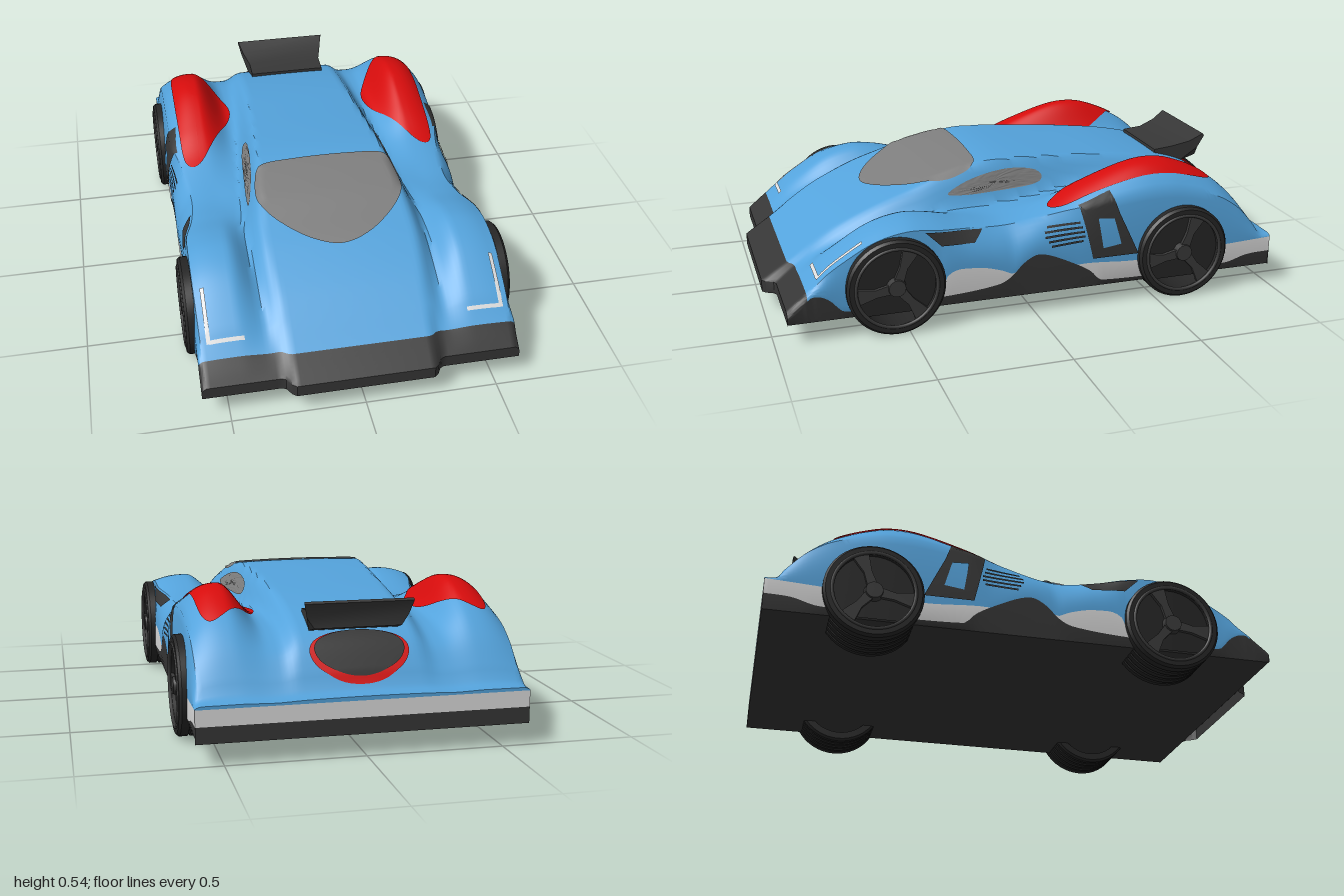
import * as THREE from 'three';
import { toCreasedNormals } from 'three/addons/utils/BufferGeometryUtils.js';

const mat = (name, color) => new THREE.MeshStandardMaterial({ name, color, side: THREE.DoubleSide });
const blue = mat('body blue', 0x54a3dc), black = mat('trim black', 0x363636), white = mat('stripe white', 0xdcdcdc);
const glass = mat('glass grey', 0x7e7e7e), red = mat('accent red', 0xd60c0c);
const rubber = mat('tyre rubber', 0x262626), rimMat = mat('rim grey', 0x3a3a3a);

const clamp01 = (t) => Math.min(1, Math.max(0, t));
const smooth = (a, b, t) => { t = clamp01((t - a) / (b - a)); return t * t * (3 - 2 * t); };
const softMax = (a, b) => 0.5 * (a + b + Math.hypot(a - b, 0.014));

// Smooth profile through [z, value] pairs, listed from front to back
function profile(p) {
  const slope = (i) => {
    const a = p[Math.max(0, i - 1)], b = p[Math.min(p.length - 1, i + 1)];
    return (b[1] - a[1]) / (b[0] - a[0]);
  };
  return (z) => {
    let i = 0;
    while (i < p.length - 2 && z < p[i + 1][0]) i++;
    const h = p[i + 1][0] - p[i][0], t = clamp01((z - p[i][0]) / h), u = 1 - t;
    return p[i][1] * u * u * (1 + 2 * t) + p[i + 1][1] * t * t * (3 - 2 * t)
      + h * t * u * (slope(i) * u - slope(i + 1) * t);
  };
}

const centreLine = profile([[1, 0.12], [0.96, 0.15], [0.9, 0.19], [0.8, 0.265], [0.7, 0.33], [0.55, 0.4], [0.42, 0.445],
  [0.3, 0.485], [0.13, 0.522], [0, 0.528], [-0.3, 0.508], [-0.5, 0.488], [-0.68, 0.455], [-0.8, 0.415],
  [-0.87, 0.365], [-0.93, 0.28], [-0.955, 0.228], [-1, 0.21]]);
const fenderLine = profile([[1, 0.12], [0.96, 0.15], [0.9, 0.19], [0.83, 0.24], [0.75, 0.3], [0.62, 0.38], [0.5, 0.412],
  [0.4, 0.405], [0.25, 0.37], [0.1, 0.355], [-0.1, 0.4], [-0.25, 0.465], [-0.4, 0.517], [-0.5, 0.533], [-0.6, 0.52],
  [-0.75, 0.455], [-0.85, 0.375], [-0.93, 0.27], [-0.955, 0.228], [-1, 0.21]]);
const valleyLine = profile([[1, 0.12], [0.96, 0.145], [0.9, 0.18], [0.7, 0.27], [0.5, 0.325], [0.3, 0.355], [0, 0.365],
  [-0.4, 0.41], [-0.7, 0.4], [-0.85, 0.345], [-0.93, 0.26], [-0.955, 0.22], [-1, 0.205]]);
const cabinWidth = profile([[1, 1], [0.8, 1.03], [0.5, 1.12], [0.1, 1], [-0.4, 0.87], [-0.8, 0.82], [-1, 0.9]]);
const fenderDrop = profile([[1, 0], [0.8, 0.01], [0.5, 0.025], [0.1, 0.02], [-0.1, 0.03], [-0.5, 0.09], [-0.8, 0.05], [-1, 0]]);
const topEdge = profile([[1, 0.58], [0.4, 0.58], [0.25, 0.545], [0.1, 0.53], [-0.1, 0.55], [-0.25, 0.578], [-0.95, 0.578], [-1, 0.575]]);
const sillTop = profile([[1, 0.1], [0.93, 0.14], [0.88, 0.18], [0.8, 0.165], [0.74, 0.11], [0.35, 0.12], [0.15, 0.14], [0.1, 0.165],
  [0.05, 0.215], [0, 0.242], [-0.05, 0.235], [-0.13, 0.2], [-0.22, 0.15], [-0.27, 0.105], [-0.8, 0.11], [-0.9, 0.135], [-1, 0.14]]);
const stripeTop = profile([[1, 0.08], [0.4, 0.08], [0.35, 0.2], [0.25, 0.22], [0.15, 0.2], [0.05, 0.16], [-0.1, 0.17],
  [-0.2, 0.182], [-0.42, 0.17], [-0.8, 0.19], [-1, 0.2]]);

// Upper body height: cabin and fenders blended over a valley
function height(x, z) {
  x = Math.abs(x);
  const v = valleyLine(z);
  const cabin = v + (centreLine(z) - v) * (1 - smooth(0.25, 0.345, x / cabinWidth(z))) - 0.08 * x * x * smooth(0.9, 0.5, z);
  const fender = v + (fenderLine(z) - v) * smooth(0.31, 0.44, x) - fenderDrop(z) * Math.pow(clamp01((x - 0.44) / 0.14), 2.5);
  return softMax(cabin, fender);
}
// The nose is stepped: its middle stands forward of the corners
const noseStep = (x, z) => z - 0.05 * clamp01((z - 0.8) / 0.2) * smooth(0.26, 0.3, Math.abs(x));

function levels(z) {
  const top = height(topEdge(z), z);
  const sill = Math.min(sillTop(z), top - 0.01);
  return { top, sill, stripe: Math.min(Math.max(sill, stripeTop(z)), top - 0.005) };
}
// Outermost x of the body at a given height
function sideX(y, z, start) {
  const { top, stripe } = levels(z);
  if (!start && y <= top) return 0.598 + (topEdge(z) - 0.598) * Math.pow(clamp01((y - stripe) / (top - stripe)), 2.5);
  let x = start || topEdge(z);
  while (x > 0.15 && height(x, z) < y) x -= 0.002;
  return x;
}

// Body skin: cross-section rings from nose to tail, coloured by band
function buildBody() {
  const COLS = 72, WALL = 8, ROWS = 120;
  const section = (z) => {
    const { top, sill, stripe } = levels(z), half = [[0.59, 0.08], [0.598, sill], [0.598, stripe]];
    for (let i = 1; i <= WALL; i++) {
      const y = stripe + (top - stripe) * i / WALL;
      half.push([sideX(y - 1e-6, z), y]);
    }
    const ring = [...half], e = topEdge(z);
    for (let i = 1; i < COLS; i++) { const x = e * (1 - 2 * i / COLS); ring.push([x, height(x, z)]); }
    for (const [x, y] of half.reverse()) ring.push([-x, y]);
    return ring.map(([x, y]) => [x, y, noseStep(x, z)]);
  };
  const flatten = (ring, y) => ring.map((p) => [p[0], Math.min(p[1], y), p[2]]);
  const front = section(1), back = section(-1), rings = [flatten(front, 0.08)], tones = [1];
  for (let i = 0; i <= ROWS; i++) {
    const z = 1 - 2 * i / ROWS;
    rings.push(section(z));
    tones.push(z > 0.901 ? 1 : 0);
  }
  rings.push(flatten(back, 0.2), flatten(back, 0.14), flatten(back, 0.08));
  tones.push(2, 1, 1);
  const N = front.length, index = [[], [], []];
  for (let r = 0; r < rings.length - 1; r++) {
    for (let k = 0; k < N; k++) {
      const band = Math.min(k, N - 2 - k), n = (k + 1) % N;
      let tone = tones[r];
      if (k === N - 1 || (band === 0 && r <= ROWS)) tone = 1;
      else if (band === 1 && r <= ROWS && tone === 0) tone = 2;
      const a = r * N + k, b = r * N + n;
      index[tone].push(a, a + N, b, b, a + N, b + N);
    }
  }
  const geo = new THREE.BufferGeometry();
  geo.setAttribute('position', new THREE.Float32BufferAttribute(rings.flat(2), 3));
  geo.setIndex(index.flat());
  let start = 0;
  index.forEach((list, m) => { geo.addGroup(start, list.length, m); start += list.length; });
  const mesh = new THREE.Mesh(toCreasedNormals(geo, 0.6), [blue, black, white]);
  mesh.name = 'body';
  return mesh;
}

// Thin panel draped on the body from an outline in two coordinates
function panel(name, material, outline, place, rounded = true) {
  const curve = new THREE.CatmullRomCurve3(outline.map(([u, v]) => new THREE.Vector3(u, v, 0)), true, 'catmullrom', rounded ? 0.5 : 0);
  const S = outline.length * 8, R = 14, rim = curve.getPoints(S), pos = [], idx = [];
  const c = outline.reduce((s, p) => [s[0] + p[0] / outline.length, s[1] + p[1] / outline.length], [0, 0]);
  for (let r = 0; r <= R; r++) for (let i = 0; i <= S; i++) {
    const t = r / R;
    pos.push(...place(c[0] + (rim[i].x - c[0]) * t, c[1] + (rim[i].y - c[1]) * t));
    if (r < R && i < S) { const a = r * (S + 1) + i, b = a + S + 1; idx.push(a, b, b + 1, a, b + 1, a + 1); }
  }
  const geo = new THREE.BufferGeometry();
  geo.setAttribute('position', new THREE.Float32BufferAttribute(pos, 3));
  geo.setIndex(idx);
  geo.computeVertexNormals();
  const mesh = new THREE.Mesh(geo, material);
  mesh.name = name;
  return mesh;
}
const onTop = (side = 1, lift = 0.006) => (x, z) => [side * x, height(x, z) + lift, noseStep(x, z)];
const onSide = (side, lift = 0.005, start = 0) => (z, y) => [side * (sideX(y, z, start) + lift), y, z];

function buildWheel(side, z) {
  const wheel = new THREE.Group();
  wheel.name = 'wheel';
  // Hollow tyre with grooved tread
  const pts = [[0.15, 0.09], [0.178, 0.09], [0.187, 0.08]];
  for (const g of [0.045, 0.01, -0.025, -0.06]) pts.push([0.187, g + 0.006], [0.181, g + 0.004], [0.181, g - 0.004], [0.187, g - 0.006]);
  pts.push([0.187, -0.085], [0.178, -0.093], [0.15, -0.093], [0.15, 0.09]);
  const tyre = new THREE.Mesh(toCreasedNormals(new THREE.LatheGeometry(pts.reverse().map((p) => new THREE.Vector2(...p)), 48), 0.6), rubber);
  tyre.name = 'tyre';
  tyre.rotation.z = -side * Math.PI / 2;
  const lip = new THREE.Mesh(new THREE.TorusGeometry(0.154, 0.007, 8, 48), rimMat);
  lip.name = 'rimLip';
  lip.rotation.y = Math.PI / 2;
  lip.position.x = side * 0.088;
  const hub = new THREE.Mesh(new THREE.CylinderGeometry(0.032, 0.038, 0.03, 24), rimMat);
  hub.name = 'hub';
  hub.rotation.z = -side * Math.PI / 2;
  hub.position.x = side * 0.078;
  wheel.add(tyre, lip, hub);
  // Three swept spokes
  const blade = new THREE.Shape([[-0.02, 0.01], [0.02, 0.01], [0.022, 0.08], [0.05, 0.145], [-0.012, 0.153], [-0.008, 0.08]].map((p) => new THREE.Vector2(...p)));
  for (let i = 0; i < 3; i++) {
    const spoke = new THREE.Mesh(new THREE.ExtrudeGeometry(blade, { depth: 0.014, bevelEnabled: false }), rimMat);
    spoke.name = 'spoke';
    spoke.rotation.set(0, Math.PI / 2, 0);
    spoke.rotateZ(-0.25 + i * Math.PI * 2 / 3);
    spoke.position.x = side * 0.078 - 0.007;
    wheel.add(spoke);
  }
  wheel.position.set(side * 0.535, 0.187, z);
  return wheel;
}

// Wing flaring upward and outward at the tail
function buildSpoiler() {
  const s = new THREE.Shape([[0.68, 0.45], [0.68, 0.468], [0.76, 0.476], [0.83, 0.497], [0.885, 0.53], [0.89, 0.522], [0.868, 0.47], [0.87, 0.43], [0.8, 0.41]].map((p) => new THREE.Vector2(...p)));
  const geo = new THREE.ExtrudeGeometry(s, { depth: 0.36, bevelEnabled: false }).translate(0, 0, -0.18).rotateY(Math.PI / 2);
  const p = geo.attributes.position;
  for (let i = 0; i < p.count; i++) {
    const flare = 0.9 + 0.2 * clamp01((-p.getZ(i) - 0.76) / 0.13) - 0.25 * clamp01((0.48 - p.getY(i)) / 0.06) * clamp01((-p.getZ(i) - 0.78) / 0.1);
    p.setX(i, p.getX(i) * flare);
  }
  const mesh = new THREE.Mesh(toCreasedNormals(geo, 0.5), black);
  mesh.name = 'spoiler';
  return mesh;
}

export function createModel() {
  const car = new THREE.Group();
  car.name = 'car';
  car.add(buildBody(), buildSpoiler());

  const screen = [[0, 0.555], [0.12, 0.515], [0.23, 0.42], [0.285, 0.33], [0.285, 0.22], [0.25, 0.145], [0.12, 0.13]];
  const mirrored = screen.slice(1).reverse().map(([x, z]) => [-x, z]);
  car.add(panel('windscreen', glass, [...screen, ...mirrored], onTop()));
  const oval = (rx, rz) => Array.from({ length: 12 }, (_, i) => [rx * Math.cos(i * Math.PI / 6), -0.887 + rz * Math.sin(i * Math.PI / 6)]);
  car.add(panel('tailRing', red, oval(0.18, 0.064), onTop(1, 0.008)), panel('tailVent', black, oval(0.163, 0.055), onTop(1, 0.016)));

  for (const side of [1, -1]) {
    car.add(
      panel('fenderPanel', red, [[0.47, -0.09], [0.53, -0.11], [0.54, -0.3], [0.54, -0.6], [0.525, -0.73], [0.48, -0.75], [0.38, -0.65], [0.3, -0.45], [0.37, -0.26]], onTop(side)),
      panel('sideWindow', glass, [[0.27, 0.42], [0.2, 0.455], [0.1, 0.48], [0, 0.488], [-0.1, 0.473], [-0.13, 0.44], [-0.08, 0.418], [0.1, 0.41], [0.2, 0.41]], onSide(side, 0.005, 0.36)),
      panel('frontInlet', black, [[0.43, 0.378], [0.2, 0.353], [0.24, 0.315], [0.37, 0.32]], onSide(side), false),
      panel('sidePanel', black, [[-0.18, 0.41], [-0.31, 0.455], [-0.34, 0.37], [-0.42, 0.2], [-0.23, 0.2]], onSide(side), false),
      panel('panelWindow', blue, [[-0.25, 0.36], [-0.315, 0.355], [-0.345, 0.25], [-0.27, 0.24]], onSide(side, 0.009), false),
      panel('headlightUpright', white, [[0.545, 0.66], [0.56, 0.66], [0.56, 0.845], [0.545, 0.845]], onTop(side), false),
      panel('headlightFoot', white, [[0.42, 0.832], [0.55, 0.832], [0.55, 0.847], [0.42, 0.847]], onTop(side), false));
    // Side grille slats
    for (let i = 0; i < 5; i++) {
      const y = 0.265 + i * 0.018, a = -0.03 - Math.abs(i - 2.5) * 0.012, b = -0.2 + Math.abs(i - 1.5) * 0.008;
      car.add(panel('grilleSlat', black, [[a, y], [b, y + 0.008], [b, y + 0.016], [a, y + 0.008]], onSide(side), false));
    }
    for (const z of [0.548, -0.606]) {
      const circle = Array.from({ length: 16 }, (_, i) => [z + 0.165 * Math.cos(i * Math.PI / 8), 0.187 + 0.165 * Math.sin(i * Math.PI / 8)]);
      car.add(panel('wheelWell', rubber, circle, (u, v) => [side * 0.603, Math.max(v, 0.08), u]), buildWheel(side, z));
    }
  }
  return car;
}
